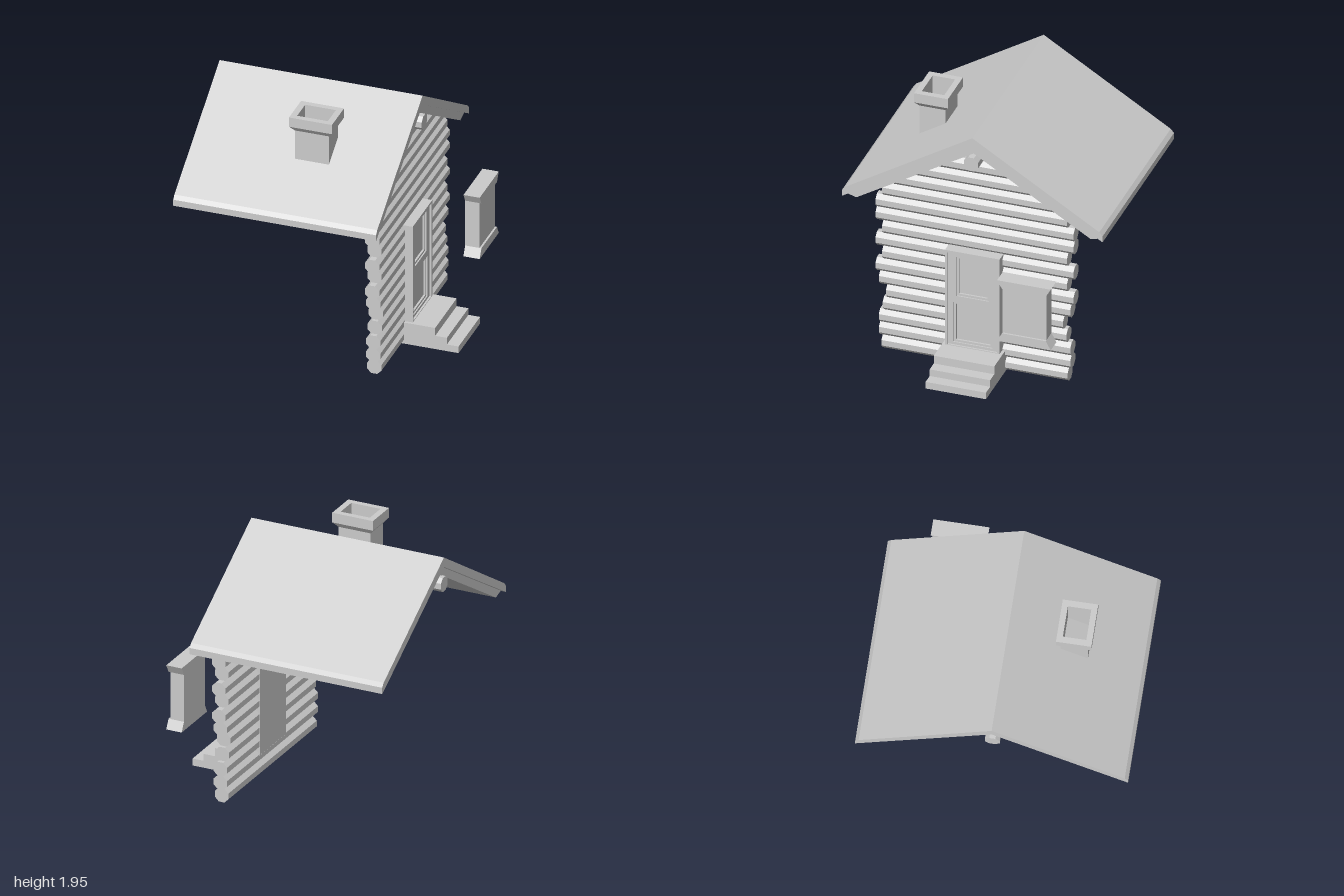
import * as THREE from 'three';

const material = new THREE.MeshStandardMaterial({ color: 0xcccccc, flatShading: true });

function add(parent, name, geometry) {
  const mesh = new THREE.Mesh(geometry, material);
  mesh.name = name;
  parent.add(mesh);
  return mesh;
}

function group(parent, name) {
  const g = new THREE.Group();
  g.name = name;
  parent.add(g);
  return g;
}

// Outline of [z, y] points extruded along x from x0 to x1
function extrudeX(points, x0, x1, holes = []) {
  const toVectors = (list) => list.map(([z, y]) => new THREE.Vector2(-z, y));
  const shape = new THREE.Shape(toVectors(points));
  holes.forEach((h) => shape.holes.push(new THREE.Path(toVectors(h))));
  return new THREE.ExtrudeGeometry(shape, { depth: x1 - x0, bevelEnabled: false })
    .rotateY(Math.PI / 2)
    .translate(x0, 0, 0);
}

// Rectangle outline in z and y, symmetric about z = 0
const rect = (half, y0, y1) => [[half, y0], [-half, y0], [-half, y1], [half, y1]];

// Mirror a half outline of [z, y] points (outer edge then inner edge) across z = 0
function mirrored(half) {
  const other = half.slice().reverse().filter(([z]) => z !== 0).map(([z, y]) => [-z, y]);
  return [half[0], ...half.slice(1), ...other];
}

// Eight-sided log with a flat facet on top
const octagonRadius = 0.055 / Math.cos(Math.PI / 8);
const logGeometry = (length) =>
  new THREE.CylinderGeometry(octagonRadius, octagonRadius, length, 8).rotateY(Math.PI / 8);

// Skin through rectangular rings [halfX, halfZ, y]
function rectLoft(rings) {
  const pos = [];
  const index = [];
  for (const [hx, hz, y] of rings) {
    pos.push(hx, y, hz, hx, y, -hz, -hx, y, -hz, -hx, y, hz);
  }
  for (let r = 0; r < rings.length - 1; r++) {
    for (let i = 0; i < 4; i++) {
      const a = r * 4 + i;
      const b = r * 4 + ((i + 1) % 4);
      index.push(a, b, b + 4, a, b + 4, a + 4);
    }
  }
  const g = new THREE.BufferGeometry();
  g.setAttribute('position', new THREE.Float32BufferAttribute(pos, 3));
  g.setIndex(index);
  const flat = g.toNonIndexed();
  flat.computeVertexNormals();
  return flat;
}

export function createModel() {
  const model = new THREE.Group();
  model.name = 'logCabin';

  // Log wall: uneven log ends, shortened under the gable
  const wall = group(model, 'logWall');
  const halves = [0.715, 0.735, 0.735, 0.705, 0.68, 0.735, 0.76, 0.71,
    0.76, 0.71, 0.76, 0.76, 0.71, 0.66, 0.49, 0.32];
  halves.forEach((half, i) => {
    const log = add(wall, 'wallLog', logGeometry(half * 2).rotateX(Math.PI / 2));
    log.position.set(0.485, 0.055 + i * 0.107, 0.004);
  });

  // Roof: top covering and a slightly inset layer below it
  const roof = group(model, 'roof');
  add(roof, 'roofCovering', extrudeX(
    mirrored([[0, 1.95], [0.975, 1.35], [1, 1.32], [1, 1.27], [0, 1.875]]), -0.96, 0.6));
  add(roof, 'roofBoards', extrudeX(
    mirrored([[0, 1.875], [0.98, 1.283], [0.9, 1.26], [0, 1.805]]), -0.93, 0.57));

  // Ridge log under the roof peak
  const ridge = add(model, 'ridgeLog', logGeometry(1.575).rotateZ(Math.PI / 2));
  ridge.position.set(-0.1725, 1.737, 0.005);

  // Chimney: shaft, flared cap and open flue
  const chimney = add(model, 'chimney', rectLoft([
    [0.13, 0.1, 1.58], [0.13, 0.1, 1.825], [0.165, 0.13, 1.865], [0.165, 0.13, 1.942],
    [0.118, 0.086, 1.942], [0.118, 0.086, 1.6],
  ]));
  chimney.position.set(-0.042, 0, 0.485);

  // Door: surround, leaf with two openings, moulded panels
  const door = group(model, 'door');
  add(door, 'doorFrame', extrudeX(rect(0.21, 0.175, 0.97), 0.425, 0.6, [rect(0.19, 0.18, 0.953)]));
  add(door, 'doorCore', extrudeX(rect(0.195, 0.176, 0.96), 0.426, 0.56));
  const openings = [[0.125, 0.59, 0.92], [0.15, 0.2, 0.535]];
  add(door, 'doorLeaf', extrudeX(rect(0.192, 0.178, 0.955), 0.55, 0.585,
    openings.map((o) => rect(...o))));
  for (const [half, y0, y1] of openings) {
    add(door, 'panelMoulding', extrudeX(rect(half, y0, y1), 0.55, 0.575,
      [rect(half - 0.017, y0 + 0.017, y1 - 0.017)]));
  }

  // Entrance steps
  add(model, 'steps', extrudeX(rect(0.232, 0, 0.055), 0.48, 0.96));
  add(model, 'steps', extrudeX(rect(0.232, 0.055, 0.11), 0.48, 0.87));
  add(model, 'steps', extrudeX(rect(0.232, 0.11, 0.175), 0.48, 0.78));

  // Free-hanging window block with flared head and sill
  const block = group(model, 'windowBlock');
  block.position.z = -0.512;
  add(block, 'windowBody', extrudeX(rect(0.168, 0.55, 0.94), 0.805, 0.915));
  add(block, 'windowHead', extrudeX(
    [[0.168, 0.933], [-0.168, 0.933], [-0.206, 1], [0.206, 1]], 0.805, 0.93));
  add(block, 'windowSill', extrudeX(
    [[0.206, 0.49], [-0.206, 0.49], [-0.168, 0.56], [0.168, 0.56]], 0.805, 0.93));

  return model;
}
